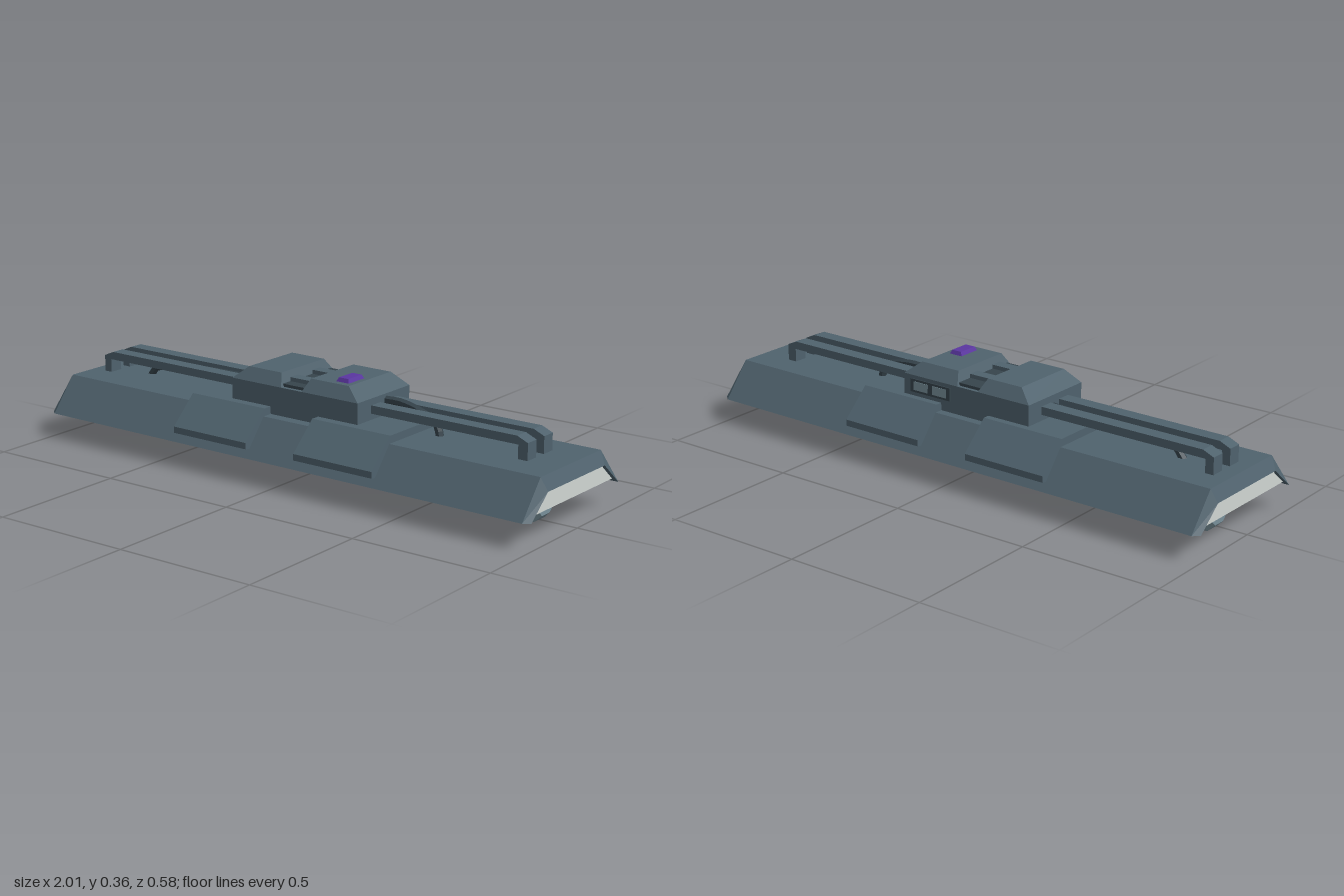
import * as THREE from 'three';

const paint = (color, side = THREE.FrontSide) =>
  new THREE.MeshStandardMaterial({ color, flatShading: true, side });

export function createModel() {
  const body = paint(0x4f626d), socket = paint(0x78909a), purple = paint(0x5a35a0);
  const dark = paint(0x36444c), white = paint(0xd0d6d3, THREE.DoubleSide);
  const model = new THREE.Group();
  const fixture = new THREE.Group();
  fixture.name = 'lampFixture';
  fixture.rotation.y = -0.0125; // hangs very slightly askew
  model.add(fixture);

  const add = (name, geometry, material) => {
    const mesh = new THREE.Mesh(geometry, material);
    mesh.name = name;
    fixture.add(mesh);
    return mesh;
  };

  // Box given by its limits; the top can be inset on each side
  const block = (name, [x0, x1], [y0, y1], [z0, z1], material, inset = [0, 0, 0, 0]) => {
    const g = new THREE.BoxGeometry(x1 - x0, y1 - y0, z1 - z0);
    g.translate((x0 + x1) / 2, (y0 + y1) / 2, (z0 + z1) / 2);
    const p = g.attributes.position, mx = (x0 + x1) / 2, mz = (z0 + z1) / 2;
    for (let i = 0; i < p.count; i++) {
      if (p.getY(i) < (y0 + y1) / 2) continue;
      p.setX(i, p.getX(i) < mx ? x0 + inset[0] : x1 - inset[1]);
      p.setZ(i, p.getZ(i) < mz ? z0 + inset[2] : z1 - inset[3]);
    }
    return add(name, g, material);
  };

  // Profile of [z, y] points extruded along x
  const alongX = (name, points, x0, x1, material) => {
    const shape = new THREE.Shape(points.map(([z, y]) => new THREE.Vector2(-z, y)));
    const g = new THREE.ExtrudeGeometry(shape, { depth: x1 - x0, bevelEnabled: false });
    g.rotateY(Math.PI / 2).translate(x0, 0, 0);
    return add(name, g, material);
  };

  // Eight-sided turned part lying along x, from [x, flat radius] points
  const turned = (name, points, material) => {
    const k = 1 / Math.cos(Math.PI / 8);
    const g = new THREE.LatheGeometry(
      points.map(([x, r]) => new THREE.Vector2(r * k, x)), 8, Math.PI / 8);
    g.rotateZ(-Math.PI / 2).translate(0, 0.077, -0.01);
    return add(name, g, material);
  };

  // Hood: open-bottomed shell with bevelled end lips
  const outer = [[0.276, 0.088], [0.178, 0.21], [-0.178, 0.21], [-0.276, 0.088]];
  const inner = [[0.258, 0.088], [0.168, 0.165], [-0.168, 0.165], [-0.258, 0.088]];
  const stations = [[-1, inner], [-0.978, outer], [0.978, outer], [1, inner]];
  const vertices = stations.flatMap(([x, s]) => s.flatMap(([z, y]) => [x, y, z]));
  const index = [];
  const quad = (a, b, c, d) => index.push(a, b, c, a, c, d);
  for (let s = 0; s < 4; s++) {
    const a = s * 4, b = ((s + 1) % 4) * 4;
    for (let j = 0; j < 3; j++) quad(a + j, b + j, b + j + 1, a + j + 1);
  }
  quad(12, 8, 4, 0);
  quad(3, 7, 11, 15);
  const shell = new THREE.BufferGeometry();
  shell.setAttribute('position', new THREE.Float32BufferAttribute(vertices, 3));
  shell.setIndex(index);
  shell.computeVertexNormals();
  add('hood', shell, body);

  // White end panels set inside the lips
  for (const x of [-0.985, 0.98])
    alongX('endPanel', [[0.244, 0.1], [0.168, 0.165], [-0.168, 0.165], [-0.244, 0.1]],
      x, x + 0.005, white);

  // Saddle plates wrapped over the hood
  const saddle = [[0.25, 0.115], [0.272, 0.118], [0.272, 0.14], [0.172, 0.236],
    [-0.172, 0.236], [-0.272, 0.14], [-0.272, 0.118], [-0.25, 0.115], [-0.172, 0.2], [0.172, 0.2]];
  for (const x of [-0.415, 0.1]) alongX('saddlePlate', saddle, x, x + 0.315, body);

  // Lamp: tube, necks, end sockets and backing strip
  turned('lampTube', [[-0.74, 0], [-0.74, 0.057], [0.715, 0.057], [0.715, 0]], purple);
  for (const side of [-1, 1]) {
    const rings = [[0.72, 0.045], [0.755, 0.045], [0.755, 0.03], [0.775, 0.03],
      [0.775, 0.042], [0.805, 0.042]];
    const cap = [[0.803, 0], [0.803, 0.077], [0.875, 0.077], [0.898, 0.055], [0.898, 0]];
    const place = (pts) => {
      const out = pts.map(([x, r]) => [side * x - 0.012, r]);
      return side < 0 ? out.reverse() : out;
    };
    turned('lampNeck', place(rings), socket);
    turned('lampSocket', place(cap), socket);
    block('socketMount', [side * 0.85 - 0.047, side * 0.85 + 0.023], [0.12, 0.168],
      [-0.06, 0.04], socket);
  }
  block('backingStrip', [-0.76, 0.74], [0.13, 0.168], [-0.09, 0.07], socket);

  // Control housing with two bevelled humps and a ribbed channel between
  block('housingBase', [-0.265, 0.26], [0.2, 0.308], [-0.148, 0.14], body);
  block('housingHump', [-0.265, -0.055], [0.308, 0.351], [-0.148, 0.14], body,
    [0.052, 0.02, 0.03, 0.027]);
  block('housingHump', [0.03, 0.26], [0.308, 0.351], [-0.148, 0.14], body,
    [0.02, 0.055, 0.03, 0.027]);
  block('channelFloor', [-0.06, 0.035], [0.3, 0.318], [-0.135, 0.125], dark);
  for (const z of [-0.055, 0.065])
    block('channelRib', [-0.06, 0.035], [0.31, 0.332], [z - 0.02, z + 0.02], body);
  block('button', [0.135, 0.187], [0.349, 0.364], [0.003, 0.09], purple,
    [0.007, 0.007, 0.007, 0.007]);

  // Gauge panel on the back of the housing
  block('gaugePanel', [0.06, 0.23], [0.25, 0.296], [-0.152, -0.14], dark);
  for (const x of [0.075, 0.155])
    block('gaugeWindow', [x, x + 0.06], [0.258, 0.288], [-0.154, -0.14], socket);

  // Pair of handrails over the hood, bent down at both ends
  const rail = new THREE.Shape([[-0.925, 0.2], [-0.925, 0.268], [-0.885, 0.285], [0.82, 0.285],
    [0.86, 0.268], [0.86, 0.2], [0.825, 0.2], [0.825, 0.257], [-0.895, 0.257], [-0.895, 0.2]]
    .map(([x, y]) => new THREE.Vector2(x, y)));
  for (const z of [-0.055, 0.04]) {
    const g = new THREE.ExtrudeGeometry(rail, { depth: 0.05, bevelEnabled: false });
    add('rail', g.translate(0, 0, z - 0.025), body);
  }

  // Cables running from the housing down into the hood
  const cables = [
    [[-0.25, 0.267, -0.012], [-0.45, 0.262, -0.02], [-0.65, 0.252, -0.012],
      [-0.74, 0.24, -0.01], [-0.775, 0.2, -0.012]],
    [[0.25, 0.285, -0.02], [0.33, 0.287, -0.016], [0.42, 0.27, -0.005],
      [0.475, 0.245, 0.0], [0.49, 0.2, 0.002]],
  ];
  for (const path of cables) {
    const curve = new THREE.CatmullRomCurve3(path.map((p) => new THREE.Vector3(...p)));
    add('cable', new THREE.TubeGeometry(curve, 12, 0.014, 6), dark);
  }
  return model;
}
